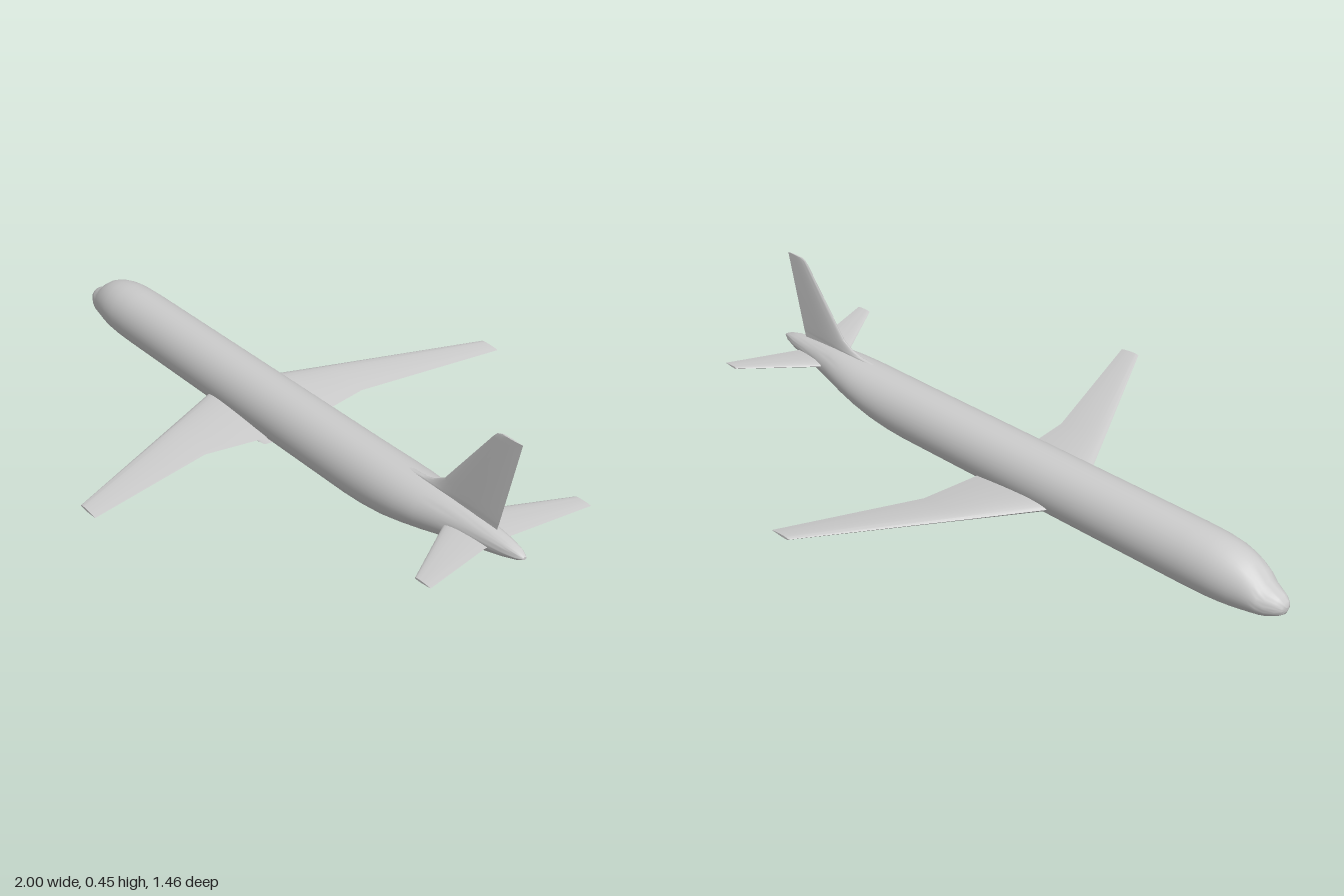
import * as THREE from 'three';
import { toCreasedNormals } from 'three/addons/utils/BufferGeometryUtils.js';

// Skin a list of equal-sized point rings, cap both ends, and make it face outward.
function loft(rings, crease = 0.7) {
  const n = rings[0].length;
  const pos = rings.flat().flatMap((p) => [p.x, p.y, p.z]);
  const idx = [];
  for (let i = 0; i < rings.length - 1; i++) {
    for (let j = 0; j < n; j++) {
      const a = i * n + j, b = i * n + ((j + 1) % n);
      idx.push(a, b, a + n, b, b + n, a + n);
    }
  }
  const last = (rings.length - 1) * n;
  for (let j = 1; j < n - 1; j++) {
    idx.push(0, j + 1, j);
    idx.push(last, last + j, last + j + 1);
  }
  // signed volume tells whether the winding must be reversed
  const pts = rings.flat();
  const cross = new THREE.Vector3();
  let volume = 0;
  for (let k = 0; k < idx.length; k += 3) {
    volume += pts[idx[k]].dot(cross.crossVectors(pts[idx[k + 1]], pts[idx[k + 2]]));
  }
  if (volume < 0) idx.reverse();
  const g = new THREE.BufferGeometry();
  g.setAttribute('position', new THREE.Float32BufferAttribute(pos, 3));
  g.setIndex(idx);
  return toCreasedNormals(g, crease);
}

// Aerofoil outline as [x, offset] pairs, rounded in front and sharp behind.
function aerofoil(x0, x1, thickness) {
  const out = [];
  const steps = 9;
  const half = (t) => thickness * (1.48 * Math.sqrt(t) - 0.63 * t - 1.76 * t * t + 1.42 * t ** 3 - 0.49 * t ** 4);
  for (let side = 1; side >= -1; side -= 2) {
    for (let i = 0; i < steps; i++) {
      const u = side > 0 ? i / steps : 1 - i / steps;
      const t = u * u;
      out.push([x0 + (x1 - x0) * t, side * Math.max(half(t), t > 0.9 ? 0.0008 : 0)]);
    }
  }
  return out;
}

// Sections: [z, x front, x back, y front, y back, thickness]
function wingGeometry(sections, side) {
  return loft(sections.map(([z, x0, x1, y0, y1, th]) =>
    aerofoil(x0, x1, th).map(([x, o]) =>
      new THREE.Vector3(x, y0 + ((y1 - y0) * (x - x0)) / (x1 - x0) + o, side * z))));
}

export function createModel() {
  const group = new THREE.Group();
  const grey = new THREE.MeshStandardMaterial({ color: 0xcccccc });
  grey.name = 'light grey';
  const add = (name, geometry) => {
    const mesh = new THREE.Mesh(geometry, grey);
    mesh.name = name;
    group.add(mesh);
  };

  // Fuselage stations: [x, top, bottom, half width]
  const stations = [
    [-1, 0.072, 0.06, 0.006], [-0.995, 0.084, 0.047, 0.019], [-0.98, 0.096, 0.036, 0.032],
    [-0.955, 0.107, 0.025, 0.045], [-0.935, 0.117, 0.02, 0.053], [-0.915, 0.139, 0.016, 0.06],
    [-0.89, 0.156, 0.012, 0.067], [-0.86, 0.169, 0.008, 0.075], [-0.82, 0.179, 0.005, 0.083],
    [-0.77, 0.185, 0.002, 0.087], [-0.7, 0.187, 0.001, 0.088], [0.38, 0.187, 0.001, 0.088],
    [0.45, 0.187, 0.005, 0.088], [0.53, 0.187, 0.016, 0.087], [0.6, 0.187, 0.032, 0.083],
    [0.67, 0.187, 0.049, 0.074], [0.74, 0.185, 0.066, 0.059], [0.81, 0.18, 0.082, 0.046],
    [0.88, 0.173, 0.099, 0.035], [0.94, 0.166, 0.115, 0.026], [0.98, 0.157, 0.128, 0.016],
    [1, 0.147, 0.138, 0.006],
  ];
  const sides = 40;
  add('fuselage', loft(stations.map(([x, top, bottom, w]) =>
    Array.from({ length: sides }, (_, i) => {
      const a = (i / sides) * Math.PI * 2;
      return new THREE.Vector3(x, (top + bottom) / 2 + ((top - bottom) / 2) * Math.sin(a), w * Math.cos(a));
    })), 1));

  // Swept wings with a kinked trailing edge, root fairings and tailplanes
  for (const [label, side] of [['left', 1], ['right', -1]]) {
    add(label + 'Wing', wingGeometry([
      [0.03, -0.265, 0.045, 0.052, 0.04, 0.034],
      [0.088, -0.235, 0.045, 0.056, 0.044, 0.03],
      [0.29, -0.13, 0.04, 0.074, 0.068, 0.018],
      [0.73, 0.1, 0.17, 0.115, 0.114, 0.007],
    ], side));
    add(label + 'WingRootFairing', wingGeometry([
      [0.03, -0.08, 0.05, 0.035, 0.018, 0.02],
      [0.085, -0.06, 0.048, 0.045, 0.026, 0.016],
      [0.105, -0.03, 0.045, 0.048, 0.042, 0.006],
    ], side));
    add(label + 'Tailplane', wingGeometry([
      [0.01, 0.735, 0.9, 0.126, 0.13, 0.018],
      [0.04, 0.755, 0.902, 0.129, 0.134, 0.016],
      [0.28, 0.905, 0.96, 0.157, 0.159, 0.006],
    ], side));
  }

  // Upright fin with a curved dorsal fillet: [y, x front, x back, thickness]
  const finLevels = [
    [0.15, 0.56, 0.895, 0.02], [0.186, 0.56, 0.902, 0.018], [0.191, 0.625, 0.904, 0.017],
    [0.201, 0.663, 0.906, 0.016], [0.225, 0.705, 0.911, 0.015], [0.43, 0.86, 0.954, 0.007],
    [0.445, 0.873, 0.957, 0.006], [0.452, 0.89, 0.959, 0.005],
  ];
  add('tailFin', loft(finLevels.map(([y, x0, x1, th]) =>
    aerofoil(x0, x1, th).map(([x, o]) => new THREE.Vector3(x, y, o)))));

  return group;
}
